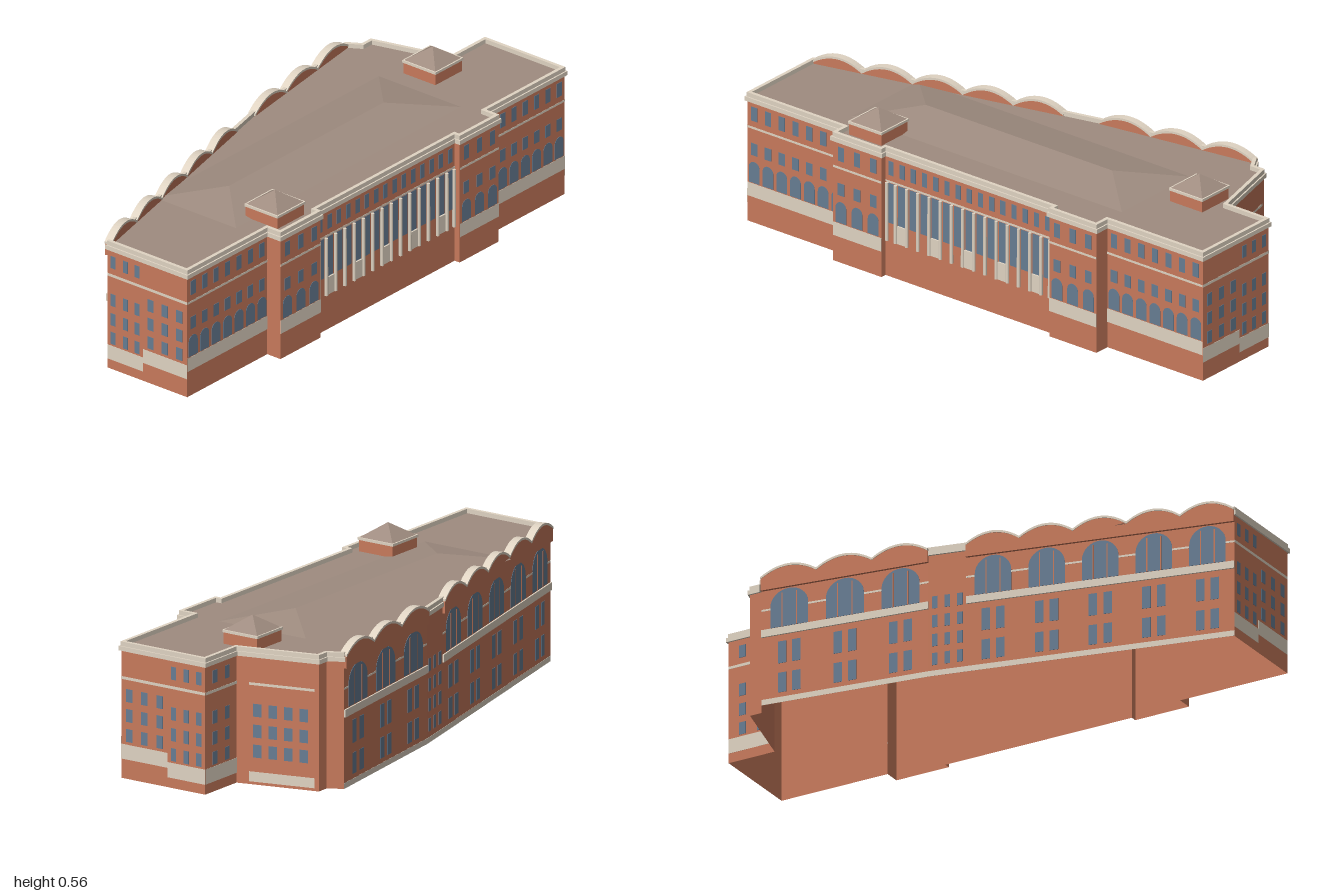
import * as THREE from 'three';
import { mergeGeometries } from 'three/addons/utils/BufferGeometryUtils.js';

const material = (name, color, side = THREE.FrontSide) => {
  const m = new THREE.MeshStandardMaterial({ color, side });
  m.name = name;
  return m;
};

// Footprint corners [x, z], walked so that the outside is on the right
const plan = [
  [-0.033, 0.99], [0.315, 0.99], [0.315, 0.57], [0.373, 0.57], [0.373, 0.36], [0.351, 0.36],
  [0.351, -0.37], [0.373, -0.37], [0.373, -0.575], [0.315, -0.575], [0.315, -0.99], [-0.033, -0.99],
  [-0.033, -0.81], [-0.32, -0.735], [-0.32, -0.69], [-0.37, -0.66], [-0.28, -0.06], [-0.25, 0.07],
];
const FRONT = 0, EAST = [1, 3, 7, 9], COLONNADE = 5, BACK = 10, BACK_SIDE = 11, OBLIQUE = 12;
const WEST_A = 15, WEST_MID = 16, WEST_B = 17;
const ROOF_Y = 0.462;

const wallEnds = i => [plan[i], plan[(i + 1) % plan.length]];
const wallLength = i => {
  const [p, q] = wallEnds(i);
  return Math.hypot(q[0] - p[0], q[1] - p[1]);
};
// Matrix of a wall: x along it, y up, z outward
const wallMatrix = i => {
  const [p, q] = wallEnds(i);
  return new THREE.Matrix4().makeRotationY(-Math.atan2(q[1] - p[1], q[0] - p[0])).setPosition(p[0], 0, p[1]);
};

// Footprint grown by d, as points (x, -z)
function outline(d) {
  const n = plan.length;
  const normal = i => {
    const [p, q] = wallEnds(i % n), l = wallLength(i % n);
    return [-(q[1] - p[1]) / l, (q[0] - p[0]) / l];
  };
  return plan.map(([x, z], i) => {
    const a = normal(i + n - 1), b = normal(i), k = d / (1 + a[0] * b[0] + a[1] * b[1]);
    return new THREE.Vector2(x + (a[0] + b[0]) * k, -(z + (a[1] + b[1]) * k));
  });
}

// Ring that follows the footprint
function ring(outer, inner, y, h) {
  const s = new THREE.Shape(outline(outer));
  s.holes.push(new THREE.Path(outline(inner)));
  return new THREE.ExtrudeGeometry(s, { depth: h, bevelEnabled: false }).rotateX(-Math.PI / 2).translate(0, y, 0);
}

export function createModel() {
  const group = new THREE.Group();
  const brick = material('brick', 0xc87a5c);
  const brickWall = material('brick wall', 0xc87a5c, THREE.DoubleSide);
  const stone = material('pale stone', 0xe0d4c3);
  const glass = material('blue glass', 0x677d93);
  const roofMat = material('brown roof', 0x9f8c80, THREE.DoubleSide);

  const add = (name, geo, mat) => {
    const m = new THREE.Mesh(geo, mat);
    m.name = name;
    group.add(m);
  };
  const parts = {};
  const collect = (name, mat, geo) => (parts[name] ??= { mat, list: [] }).list.push(geo);

  // Extrude a shape from a wall, between two distances from its face
  const onWall = (name, mat, i, shape, z1, z0 = 0.0007) => collect(name, mat,
    new THREE.ExtrudeGeometry(shape, { depth: z1 - z0, bevelEnabled: false, curveSegments: 8 })
      .translate(0, 0, z0).applyMatrix4(wallMatrix(i)));
  const rect = (u0, u1, y0, y1) => new THREE.Shape([[u0, y0], [u1, y0], [u1, y1], [u0, y1]]
    .map(p => new THREE.Vector2(...p)));
  const arch = (u, w, y0, y1, rise) => {
    const s = new THREE.Shape();
    s.moveTo(u - w / 2, y0);
    s.lineTo(u + w / 2, y0);
    s.lineTo(u + w / 2, y1 - rise);
    s.absellipse(u, y1 - rise, w / 2, rise, 0, Math.PI, false);
    return s;
  };
  const band = (i, y0, y1, u0 = 0, u1 = wallLength(i), d = 0.0014) =>
    onWall('stoneBands', stone, i, rect(u0, u1, y0, y1), d);
  const pane = (i, shape) => onWall('windows', glass, i, shape, 0.002);
  const win = (i, u, w, y0, y1) => pane(i, rect(u - w / 2, u + w / 2, y0, y1));

  // Outer walls, open underneath
  plan.forEach((p, i) => {
    const l = wallLength(i);
    collect('walls', brickWall,
      new THREE.PlaneGeometry(l, ROOF_Y).translate(l / 2, ROOF_Y / 2, 0).applyMatrix4(wallMatrix(i)));
  });

  // Front and back end walls, mirrored
  const fl = wallLength(FRONT);
  for (const i of [FRONT, BACK]) {
    const U = u => (i === FRONT ? u : fl - u);
    const span = (a, b, y0, y1) => band(i, y0, y1, Math.min(U(a), U(b)), Math.max(U(a), U(b)));
    span(0, 0.155, 0.035, 0.088);
    span(0.155, fl, 0.068, 0.12);
    band(i, 0.347, 0.357);
    for (const u of [0.025, 0.078, 0.13])
      for (const y of [0.095, 0.165, 0.238, 0.38]) win(i, U(u), 0.021, y, y + 0.045);
    for (const u of [0.188, 0.251, 0.314])
      for (const y of [0.13, 0.2, 0.27]) win(i, U(u), 0.026, y, y + 0.045);
  }

  // Long side: wings and pavilions with arched ground floor windows
  for (const i of EAST) {
    const l = wallLength(i), n = Math.round(l / 0.06);
    band(i, 0.095, 0.145);
    band(i, 0.348, 0.356);
    for (let k = 0; k < n; k++) {
      const u = (k + 0.5) * l / n;
      pane(i, arch(u, 0.046, 0.148, 0.226, 0.023));
      win(i, u, 0.028, 0.25, 0.295);
      win(i, u, 0.026, 0.378, 0.43);
    }
  }

  // Colonnade in the middle of the long side
  const cl = wallLength(COLONNADE), bays = 15, bay = cl / bays;
  band(COLONNADE, 0.35, 0.357);
  for (let k = 0; k <= bays; k++) {
    const cu = Math.min(Math.max(k * bay, 0.011), cl - 0.011);
    const column = new THREE.CylinderGeometry(0.006, 0.0065, 0.215, 10).translate(cu, 0.2425, 0.0072);
    collect('columns', stone, column.applyMatrix4(wallMatrix(COLONNADE)));
    if (k === bays) break;
    const u = (k + 0.5) * bay;
    win(COLONNADE, u, 0.034, 0.2, 0.348);
    win(COLONNADE, u, 0.022, 0.378, 0.43);
    if (k % 3 === 1) onWall('doorSurrounds', stone, COLONNADE, rect(u - 0.017, u + 0.017, 0.135, 0.2), 0.008);
  }

  // Rear return wall and oblique wall
  for (const u of [0.055, 0.125])
    for (const y of [0.095, 0.165, 0.238, 0.38]) win(BACK_SIDE, u, 0.026, y, y + 0.045);
  band(BACK_SIDE, 0.035, 0.088);
  band(BACK_SIDE, 0.347, 0.357);
  const ol = wallLength(OBLIQUE);
  band(OBLIQUE, 0.348, 0.357, 0.045, ol - 0.015);
  band(OBLIQUE, 0.01, 0.045, 0.045, ol - 0.015);
  for (let k = 0; k < 4; k++)
    for (const y of [0.095, 0.165, 0.238]) win(OBLIQUE, 0.075 + k * 0.056, 0.03, y, y + 0.045);

  // West side: great arched windows under a scalloped parapet
  for (const [i, n] of [[WEST_A, 3], [WEST_B, 5]]) {
    const l = wallLength(i), w = l / n, steps = 14;
    band(i, 0, 0.02);
    band(i, 0.25, 0.277, 0, l, 0.006);
    band(i, 0.347, 0.354);
    const crest = [];
    for (let k = 0; k < n; k++) {
      const u = (k + 0.5) * w, arc = [];
      pane(i, arch(u, w * 0.68, 0.28, 0.419, 0.062));
      for (const s of [-1, 1]) {
        const m = u + s * w * 0.13;
        onWall('mullions', brick, i, rect(m - 0.002, m + 0.002, 0.28, 0.405), 0.003);
        win(i, u + s * 0.026, 0.03, 0.145, 0.226);
        win(i, u + s * 0.026, 0.03, 0.037, 0.11);
      }
      for (let j = 0; j <= steps; j++) {
        const t = 2 * j / steps - 1;
        arc.push(new THREE.Vector2(u + t * w / 2, 0.464 + 0.034 * (1 - t * t)));
      }
      crest.push(...(k ? arc.slice(1) : arc));
      const top = arc.map(p => new THREE.Vector2(p.x, p.y + 0.008)).reverse();
      onWall('vaultCaps', stone, i, new THREE.Shape([...arc, ...top]), 0.012, -0.016);
    }
    const face = [new THREE.Vector2(0, 0.463), new THREE.Vector2(l, 0.463), ...crest.reverse()];
    onWall('scallopedParapet', brick, i, new THREE.Shape(face), 0.01, -0.014);
    onWall('scallopedParapet', brick, i, rect(0, l, 0.422, 0.463), 0.01);
  }

  // Narrow stair bay between the two west sections
  const ml = wallLength(WEST_MID);
  band(WEST_MID, 0, 0.02);
  for (let k = 0; k < 3; k++)
    for (const y of [0.04, 0.11, 0.18, 0.25]) win(WEST_MID, (k + 0.5) * ml / 3, 0.02, y, y + 0.045);

  for (const [name, { mat, list }] of Object.entries(parts)) add(name, mergeGeometries(list), mat);

  // Cornice and parapet
  add('cornice', ring(0.007, 0.0006, 0.447, 0.0155), stone);
  add('parapet', ring(0.002, -0.011, ROOF_Y + 0.0006, 0.0155), stone);

  // Flat roof with a low hipped ridge
  const flat = new THREE.ShapeGeometry(new THREE.Shape(outline(0))).rotateX(-Math.PI / 2).translate(0, ROOF_Y, 0);
  add('roof', flat, roofMat);
  const hip = new THREE.BufferGeometry();
  hip.setAttribute('position', new THREE.Float32BufferAttribute([
    -0.14, 0.463, 0.62, 0.22, 0.463, 0.62, 0.22, 0.463, -0.56, -0.14, 0.463, -0.56,
    0.04, 0.495, 0.44, 0.04, 0.495, -0.37], 3));
  hip.setIndex([0, 1, 4, 1, 2, 5, 1, 5, 4, 2, 3, 5, 3, 0, 4, 3, 4, 5]);
  const hipFlat = hip.toNonIndexed();
  hipFlat.computeVertexNormals();
  add('roofRidge', hipFlat, roofMat);

  // Two rooftop turrets
  for (const [x, z] of [[-0.02, -0.7], [0.261, 0.465]]) {
    add('turretWalls', new THREE.BoxGeometry(0.14, 0.042, 0.14).translate(x, 0.484, z), brick);
    add('turretEave', new THREE.BoxGeometry(0.146, 0.009, 0.146).translate(x, 0.508, z), stone);
    const cap = new THREE.ConeGeometry(0.068 * Math.SQRT2, 0.048, 4).rotateY(Math.PI / 4).toNonIndexed();
    cap.computeVertexNormals();
    add('turretRoof', cap.translate(x, 0.5365, z), roofMat);
  }
  return group;
}
